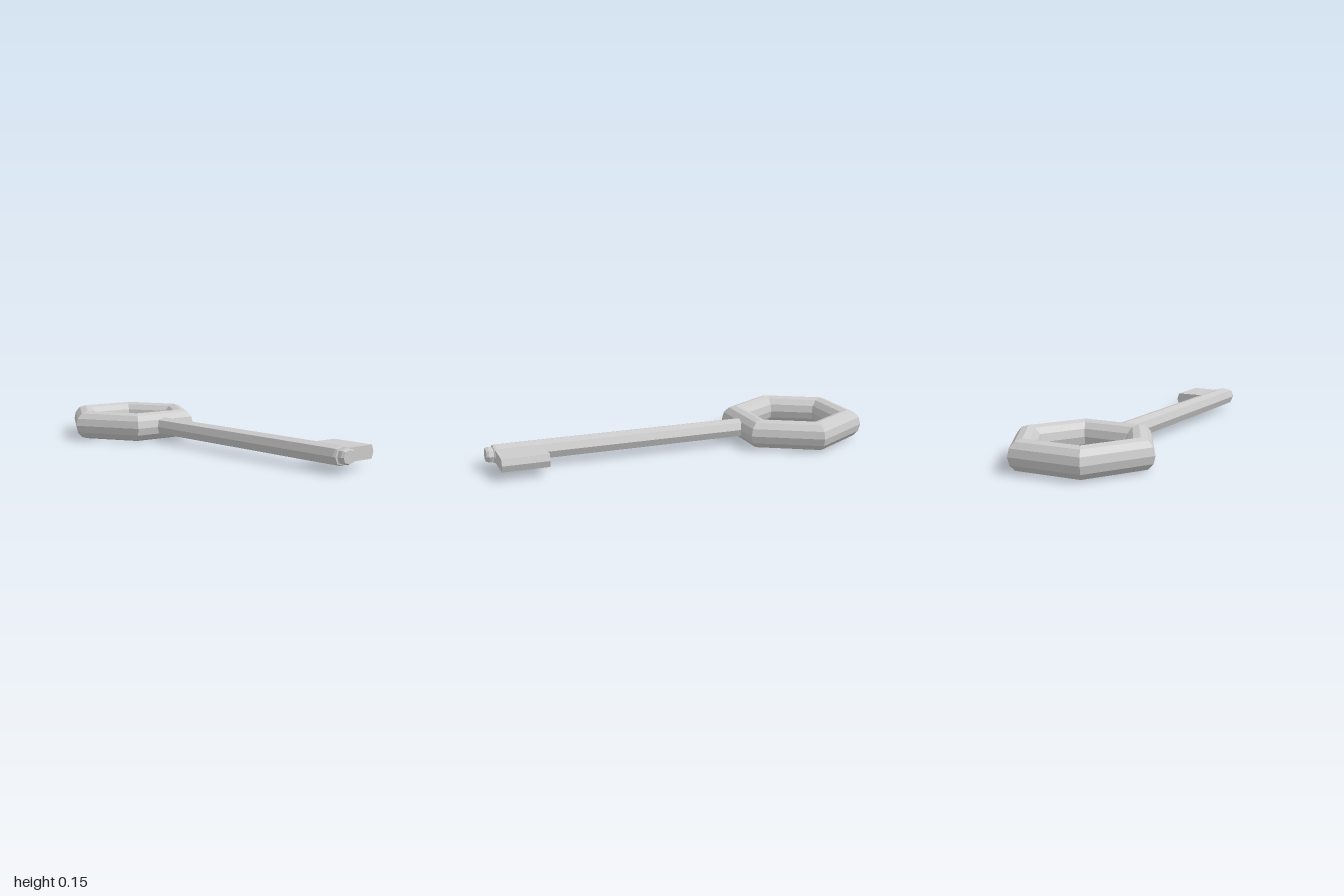
import * as THREE from 'three';

const MID = 0.077; // height of the key's middle plane

export function createModel() {
  const key = new THREE.Group();
  key.name = 'key';
  const material = new THREE.MeshStandardMaterial({ color: 0xcccccc, flatShading: true });

  const add = (name, geometry, x, z) => {
    const flat = geometry.index ? geometry.toNonIndexed() : geometry;
    flat.computeVertexNormals();
    const mesh = new THREE.Mesh(flat, material);
    mesh.name = name;
    mesh.position.set(x, MID, z);
    key.add(mesh);
  };

  // Hexagonal bow with a twelve-sided tube, lying flat
  const bow = new THREE.TorusGeometry(0.303, 0.075, 12, 6);
  bow.rotateX(Math.PI / 2);
  bow.scale(1, 1.02, 1);
  add('bow', bow, 0, -0.673);

  // Eight-sided shaft with a bevelled end and a stepped tip
  const profile = [
    [0, -0.4], [0.058, -0.4], [0.058, 0.72], [0.057, 0.95], [0.053, 0.963],
    [0.042, 0.964], [0.046, 0.972], [0.046, 0.988], [0.039, 1], [0, 1],
  ].map(([r, z]) => new THREE.Vector2(r, z));
  const shaft = new THREE.LatheGeometry(profile, 8);
  shaft.rotateX(Math.PI / 2);
  const p = shaft.attributes.position;
  for (let i = 0; i < p.count; i++) {
    // push the diagonal corners out a little and flatten the section
    const diagonal = Math.abs(p.getX(i)) > 0.005 && Math.abs(p.getY(i)) > 0.005;
    const k = diagonal ? 1.07 : 1;
    p.setXY(i, p.getX(i) * k, p.getY(i) * k * 0.83);
  }
  add('shaft', shaft, 0, 0);

  // Bit: a flat plate whose outer edge comes to a shallow ridge
  const section = new THREE.Shape([
    [0, -0.033], [0.196, -0.033], [0.207, 0], [0.196, 0.033], [0, 0.033],
  ].map(([x, y]) => new THREE.Vector2(x, y)));
  const bit = new THREE.ExtrudeGeometry(section, { depth: 0.233, bevelEnabled: false });
  add('bit', bit, 0, 0.726);

  return key;
}
